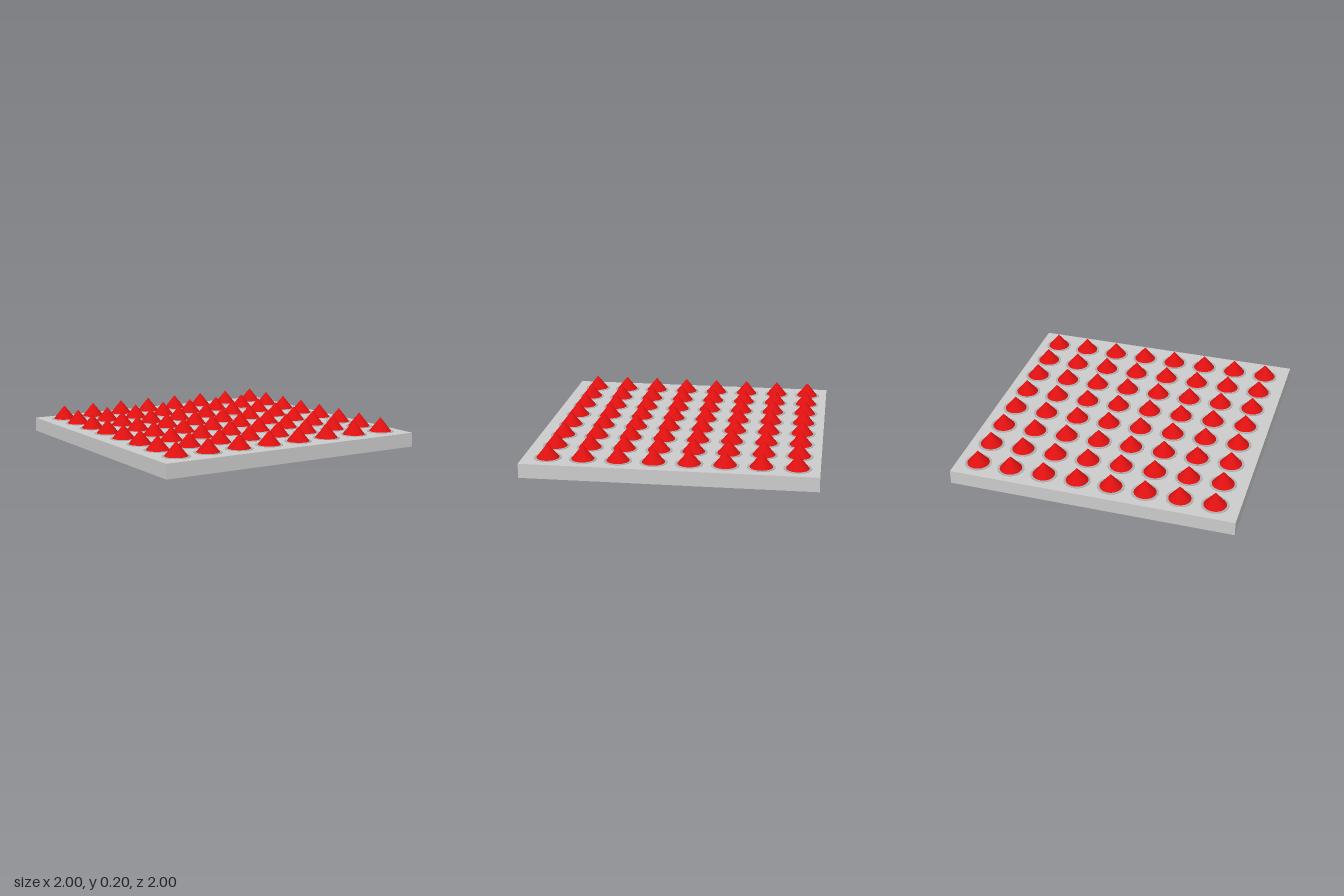
import * as THREE from 'three';

export function createModel() {
  const model = new THREE.Group();
  const grey = new THREE.MeshStandardMaterial({ color: 0xcccccc });
  const darkGrey = new THREE.MeshStandardMaterial({ color: 0xb0b0b0 });
  const red = new THREE.MeshStandardMaterial({ color: 0xe01010 });

  const add = (parent, name, geometry, material, x, y, z) => {
    const mesh = new THREE.Mesh(geometry, material);
    mesh.name = name;
    mesh.position.set(x, y, z);
    parent.add(mesh);
  };

  // Square base slab
  const slabHeight = 0.1;
  add(model, 'baseSlab', new THREE.BoxGeometry(2, slabHeight, 2), grey, 0, slabHeight / 2, 0);

  // Spike: a cone standing on a thin, slightly wider disc
  const discHeight = 0.003;
  const spikeHeight = 0.1;
  const discGeometry = new THREE.CylinderGeometry(0.094, 0.094, discHeight, 32);
  const coneGeometry = new THREE.ConeGeometry(0.08, spikeHeight, 32);

  // 8 x 8 grid of spikes, set slightly off centre
  const count = 8;
  const step = 0.24;
  const startX = -0.83;
  const startZ = -0.85;
  for (let row = 0; row < count; row++) {
    for (let column = 0; column < count; column++) {
      const spike = new THREE.Group();
      spike.name = `spike_${row}_${column}`;
      spike.position.set(startX + column * step, slabHeight, startZ + row * step);
      add(spike, 'spikeDisc', discGeometry, darkGrey, 0, discHeight / 2, 0);
      add(spike, 'spikeCone', coneGeometry, red, 0, spikeHeight / 2, 0);
      model.add(spike);
    }
  }

  return model;
}
